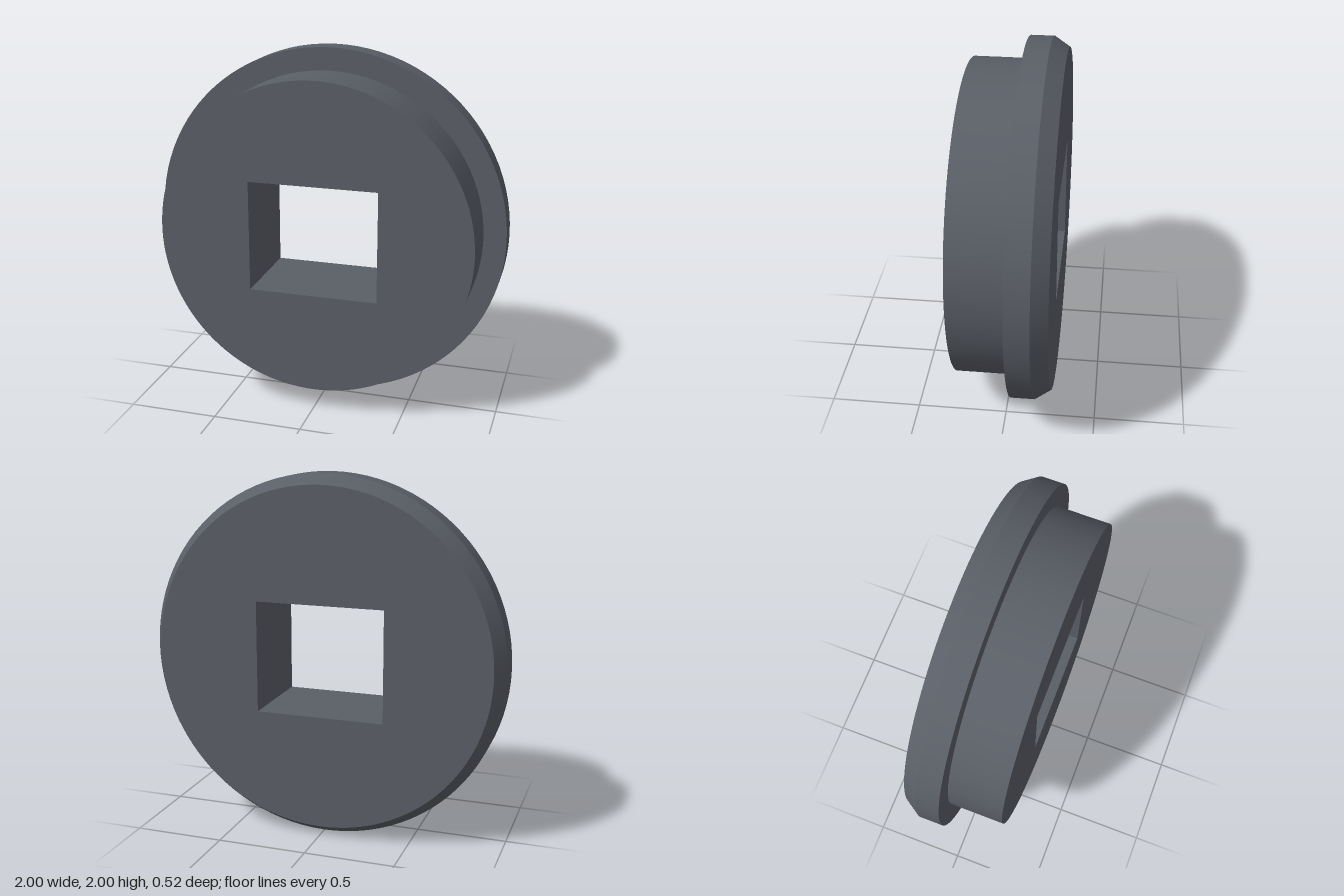
import * as THREE from 'three';

const SEGMENTS = 96;
const HOLE_X = 0.36, HOLE_Y = 0.31; // half sizes of the rectangular hole
const BACK = -0.26, FRONT = 0.26;

export function createModel() {
  const group = new THREE.Group();
  group.name = 'flangedPlug';
  const slate = new THREE.MeshStandardMaterial({ color: 0x5a5e66 });
  slate.name = 'slateGrey';

  const body = new THREE.Group();
  body.name = 'body';
  body.position.y = 1;
  group.add(body);

  const add = (name, geometry) => {
    const mesh = new THREE.Mesh(geometry, slate);
    mesh.name = name;
    body.add(mesh);
    return mesh;
  };

  // Turned outer surface, one band per profile segment so the edges stay sharp
  const band = (name, r0, z0, r1, z1) => add(name, new THREE.LatheGeometry(
    [new THREE.Vector2(r0, z0), new THREE.Vector2(r1, z1)], SEGMENTS).rotateX(Math.PI / 2));
  band('flangeChamfer', 0.945, BACK, 1, -0.175);
  band('flangeRim', 1, -0.175, 1, -0.045);
  band('flangeShoulder', 1, -0.045, 0.875, -0.045);
  band('hubWall', 0.875, -0.045, 0.875, FRONT);

  // Flat end faces pierced by the hole
  const endFace = (radius) => {
    const shape = new THREE.Shape().absarc(0, 0, radius, 0, Math.PI * 2, false);
    shape.holes.push(new THREE.Path([
      [-HOLE_X, -HOLE_Y], [-HOLE_X, HOLE_Y], [HOLE_X, HOLE_Y], [HOLE_X, -HOLE_Y],
    ].map(([x, y]) => new THREE.Vector2(x, y))));
    return new THREE.ShapeGeometry(shape, SEGMENTS);
  };
  add('frontFace', endFace(0.875)).position.z = FRONT;
  add('backFace', endFace(0.945).rotateY(Math.PI)).position.z = BACK;

  // Inner walls of the hole, facing its axis
  const depth = FRONT - BACK;
  for (const side of [-1, 1]) {
    add(side > 0 ? 'holeWallLeft' : 'holeWallRight',
      new THREE.PlaneGeometry(depth, HOLE_Y * 2).rotateY(-side * Math.PI / 2)).position.x = side * HOLE_X;
    add(side > 0 ? 'holeWallTop' : 'holeWallBottom',
      new THREE.PlaneGeometry(HOLE_X * 2, depth).rotateX(side * Math.PI / 2)).position.y = side * HOLE_Y;
  }

  return group;
}
